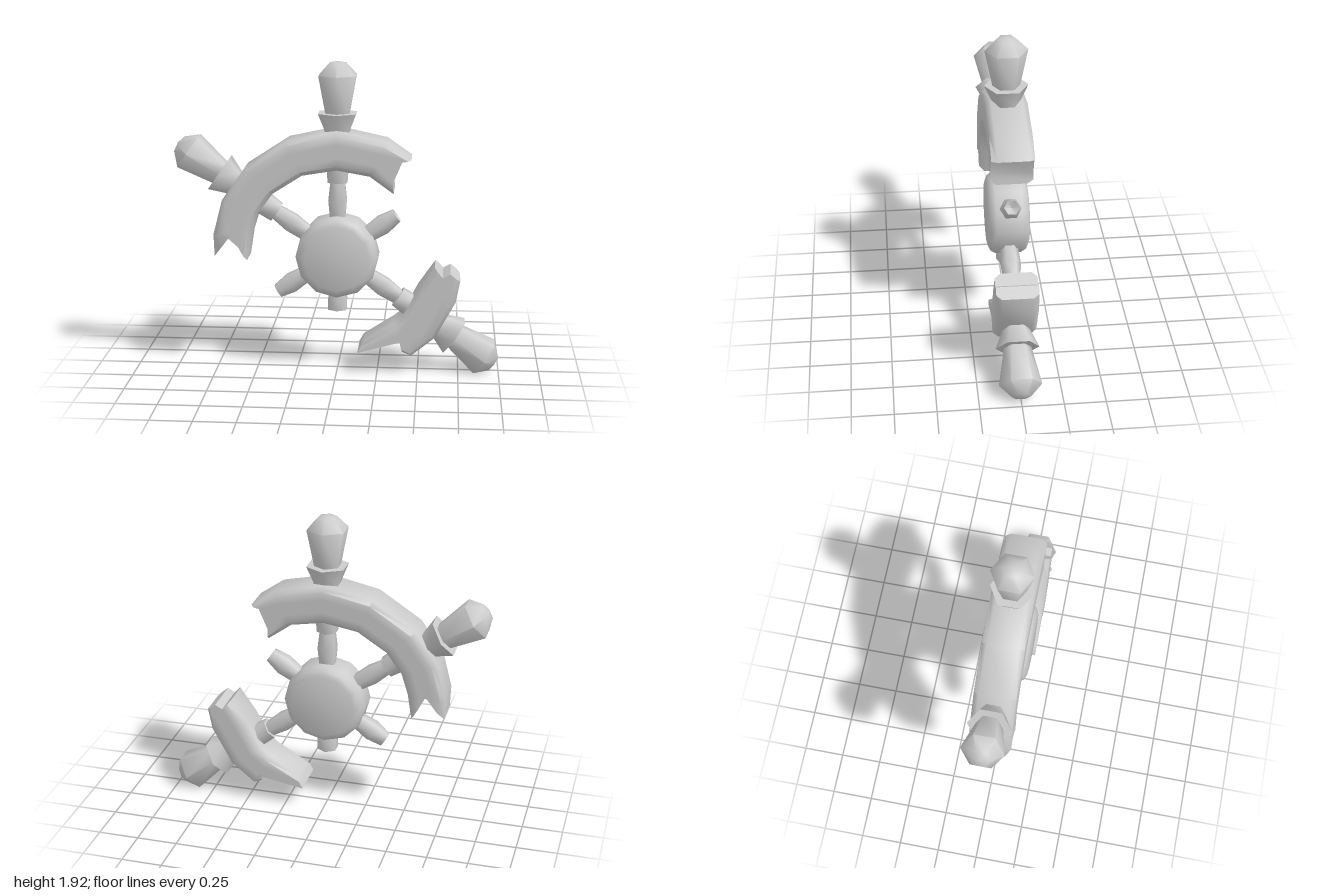
import * as THREE from 'three';
import { toCreasedNormals } from 'three/addons/utils/BufferGeometryUtils.js';

const CENTRE_Y = 0.735;
const HALF = 0.127;      // half thickness of rim and hub
const BEVEL = 0.033;
const material = new THREE.MeshStandardMaterial({ color: 0xcccccc, side: THREE.DoubleSide });

function addMesh(parent, name, geometry, crease) {
  const mesh = new THREE.Mesh(toCreasedNormals(geometry, crease), material);
  mesh.name = name;
  parent.add(mesh);
  return mesh;
}

// Turned part from [radius, height] pairs, bottom to top
function turned(profile, sides) {
  return new THREE.LatheGeometry(profile.map(([r, y]) => new THREE.Vector2(r, y)), sides);
}

const mix = (a, b, t) => [a[0] + (b[0] - a[0]) * t, a[1] + (b[1] - a[1]) * t];

// Rim piece lofted through stations, each [inner, outer] or [inner, mid, mid, outer]
// for a splintered end; chamfered along the inner and outer edges
function rimPiece(stations) {
  const positions = [], index = [], n = 12;
  for (const s of stations) {
    const inner = s[0], outer = s[s.length - 1];
    const m1 = s.length === 4 ? s[1] : mix(inner, outer, 1 / 3);
    const m2 = s.length === 4 ? s[2] : mix(inner, outer, 2 / 3);
    const face = [inner, mix(inner, m1, 0.35), m1, m2, mix(outer, m2, 0.35), outer];
    const z = (j) => (j === 0 || j === 5 ? HALF - BEVEL : HALF);
    face.forEach((p, j) => positions.push(p[0], p[1], z(j)));
    for (let j = 5; j >= 0; j--) positions.push(face[j][0], face[j][1], -z(j));
  }
  const quad = (a, b, c, d) => index.push(a, b, c, a, c, d);
  for (let s = 0; s < stations.length - 1; s++) {
    for (let j = 0; j < n; j++) {
      const k = (j + 1) % n, a = s * n, b = a + n;
      quad(a + j, b + j, b + k, a + k);
    }
  }
  // Broken end faces
  const e = (stations.length - 1) * n;
  for (let j = 0; j < 5; j++) {
    quad(j, j + 1, n - 2 - j, n - 1 - j);
    quad(e + n - 1 - j, e + n - 2 - j, e + j + 1, e + j);
  }
  const g = new THREE.BufferGeometry();
  g.setAttribute('position', new THREE.Float32BufferAttribute(positions, 3));
  g.setIndex(index);
  return g;
}

// Group at the hub whose +y axis points along the given angle
function spokeGroup(name, degrees) {
  const group = new THREE.Group();
  group.name = name;
  group.position.y = CENTRE_Y;
  group.rotation.z = THREE.MathUtils.degToRad(degrees - 90);
  return group;
}

function wholeSpoke(name, degrees) {
  const g = spokeGroup(name, degrees);
  addMesh(g, 'spindle', turned([[0, 0.2], [0.05, 0.2], [0.064, 0.345], [0.05, 0.46], [0, 0.46]], 6), 1.1);
  addMesh(g, 'innerCollar', turned([[0, 0.455], [0.068, 0.455], [0.078, 0.58], [0, 0.58]], 6), 1.1);
  addMesh(g, 'outerCollar', turned([[0, 0.74], [0.082, 0.74], [0.088, 0.78], [0.132, 0.882], [0, 0.882]], 6), 1.1);
  addMesh(g, 'handle', turned([[0, 0.87], [0.081, 0.87], [0.129, 1.11], [0.057, 1.183], [0, 1.195]], 6), 1.1);
  return g;
}

function brokenSpoke(name, degrees, profile, hollow) {
  const g = spokeGroup(name, degrees);
  const end = profile[profile.length - 1][1];
  addMesh(g, 'stub', turned([[0, 0.2], ...profile, [0, end - hollow]], 6), 1.1);
  return g;
}

export function createModel() {
  const model = new THREE.Group();
  model.name = 'brokenShipWheel';

  // Hub
  const hub = addMesh(model, 'hub', turned([
    [0, -HALF], [0.2, -HALF], [0.235, -0.112], [0.254, -0.08],
    [0.254, 0.08], [0.235, 0.112], [0.2, HALF], [0, HALF],
  ], 12), 0.9);
  hub.rotation.x = Math.PI / 2;
  hub.position.y = CENTRE_Y;

  // Spokes with handles
  model.add(wholeSpoke('topSpoke', 90));
  model.add(wholeSpoke('upperRightSpoke', 145));
  model.add(wholeSpoke('lowerLeftSpoke', -35));

  // Snapped spokes
  const taper = [[0.05, 0.2], [0.066, 0.34], [0.047, 0.44]];
  model.add(brokenSpoke('upperLeftStub', 35, taper, 0.04));
  model.add(brokenSpoke('lowerRightStub', 213, taper, 0.02));
  model.add(brokenSpoke('bottomStub', 270, [[0.052, 0.2], [0.066, 0.28], [0.066, 0.348]], 0.03));

  // Long upper rim piece
  addMesh(model, 'upperRim', rimPiece([
    [[-0.55, 0.71], [-0.6, 0.8], [-0.64, 0.88], [-0.75, 0.735]],
    [[-0.525, 0.87], [-0.755, 0.87]],
    [[-0.485, 1.0], [-0.7, 1.085]],
    [[-0.39, 1.13], [-0.56, 1.285]],
    [[-0.21, 1.245], [-0.3, 1.455]],
    [[0, 1.28], [0, 1.52]],
    [[0.2, 1.245], [0.3, 1.455]],
    [[0.345, 1.14], [0.34, 1.21], [0.395, 1.34], [0.45, 1.35]],
  ]), 0.9);

  // Short lower rim piece
  addMesh(model, 'lowerRim', rimPiece([
    [[0.6, 0.685], [0.65, 0.63], [0.695, 0.655], [0.755, 0.605]],
    [[0.5, 0.54], [0.73, 0.47]],
    [[0.41, 0.375], [0.605, 0.24]],
    [[0.35, 0.325], [0.46, 0.122]],
    [[0.165, 0.205], [0.13, 0.14], [0.39, 0.215], [0.405, 0.145]],
  ]), 0.9);

  return model;
}
